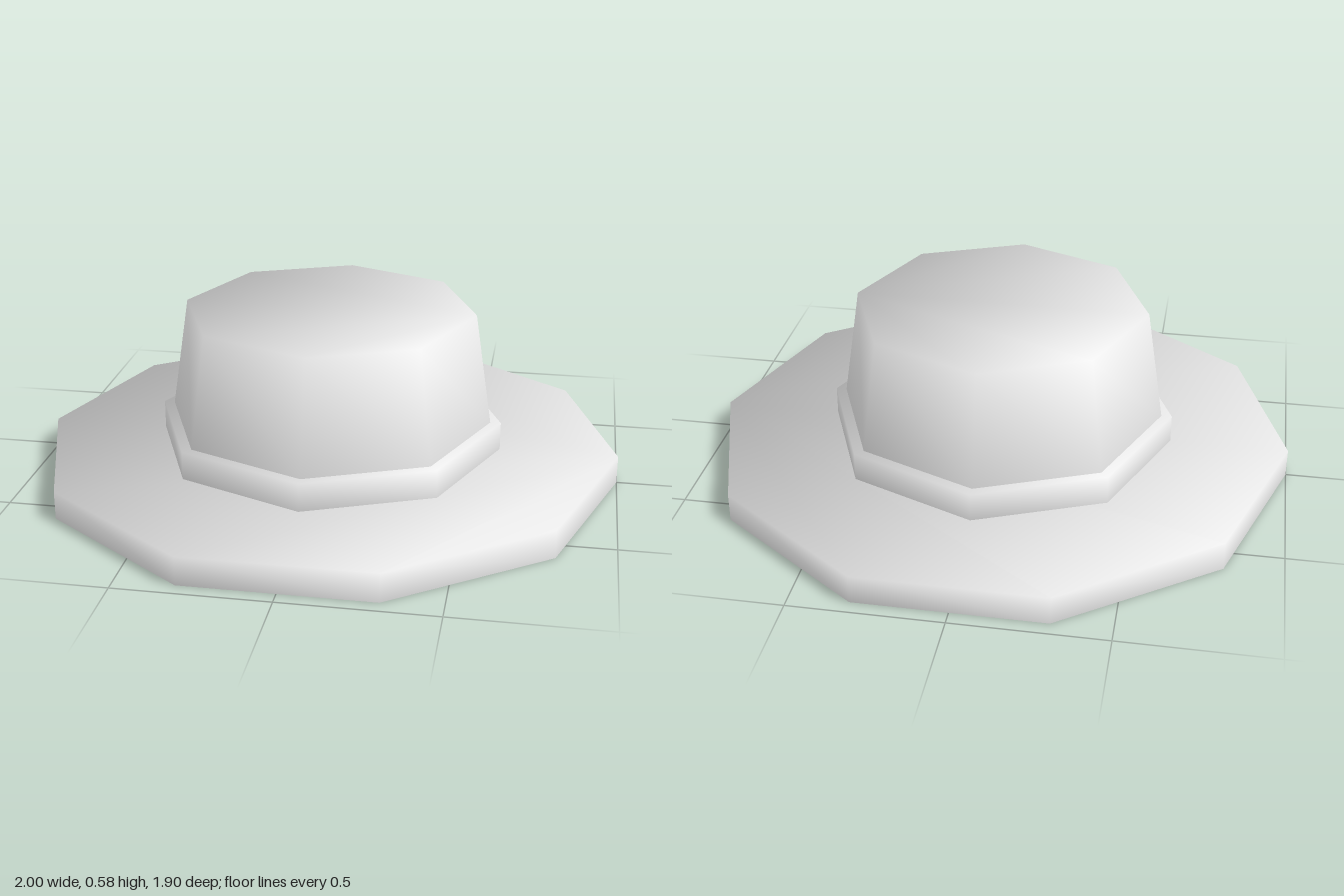
import * as THREE from 'three';

// Low-poly frustum, open underneath, with shared angle-weighted smooth normals.
function openFrustum(sides, rBottom, rTop, y0, y1) {
  const pts = [], index = [];
  for (const [r, y] of [[rBottom, y0], [rTop, y1]]) {
    for (let i = 0; i < sides; i++) {
      const a = (i / sides) * Math.PI * 2;
      pts.push(new THREE.Vector3(r * Math.cos(a), y, r * Math.sin(a)));
    }
  }
  for (let i = 0; i < sides; i++) {
    const j = (i + 1) % sides;
    index.push(i, sides + i, sides + j, i, sides + j, j);
    // top cap as a fan from the first corner
    if (i > 0 && j > 0) index.push(sides, sides + j, sides + i);
  }

  const normals = pts.map(() => new THREE.Vector3());
  for (let k = 0; k < index.length; k += 3) {
    const tri = index.slice(k, k + 3);
    const face = new THREE.Triangle(...tri.map((v) => pts[v])).getNormal(new THREE.Vector3());
    tri.forEach((v, c) => {
      const e1 = pts[tri[(c + 1) % 3]].clone().sub(pts[v]);
      const e2 = pts[tri[(c + 2) % 3]].clone().sub(pts[v]);
      normals[v].addScaledVector(face, e1.angleTo(e2));
    });
  }
  normals.forEach((n) => n.normalize());

  const geo = new THREE.BufferGeometry().setFromPoints(pts);
  geo.setAttribute('normal', new THREE.Float32BufferAttribute(normals.flatMap((n) => n.toArray()), 3));
  geo.setIndex(index);
  return geo;
}

export function createModel() {
  const group = new THREE.Group();
  group.name = 'hat';
  // double-sided because the hollow underside of the brim is visible
  const felt = new THREE.MeshStandardMaterial({ color: 0xe7e7e7, side: THREE.DoubleSide });
  felt.name = 'pale grey felt';

  // name, sides, bottom radius, top radius, bottom y, top y
  const parts = [
    ['brim', 10, 1, 1, 0, 0.096],
    ['band', 8, 0.596, 0.596, 0.096, 0.193],
    ['crown', 8, 0.56, 0.5, 0.193, 0.578],
  ];
  for (const [name, ...dims] of parts) {
    const mesh = new THREE.Mesh(openFrustum(...dims), felt);
    mesh.name = name;
    group.add(mesh);
  }
  return group;
}
